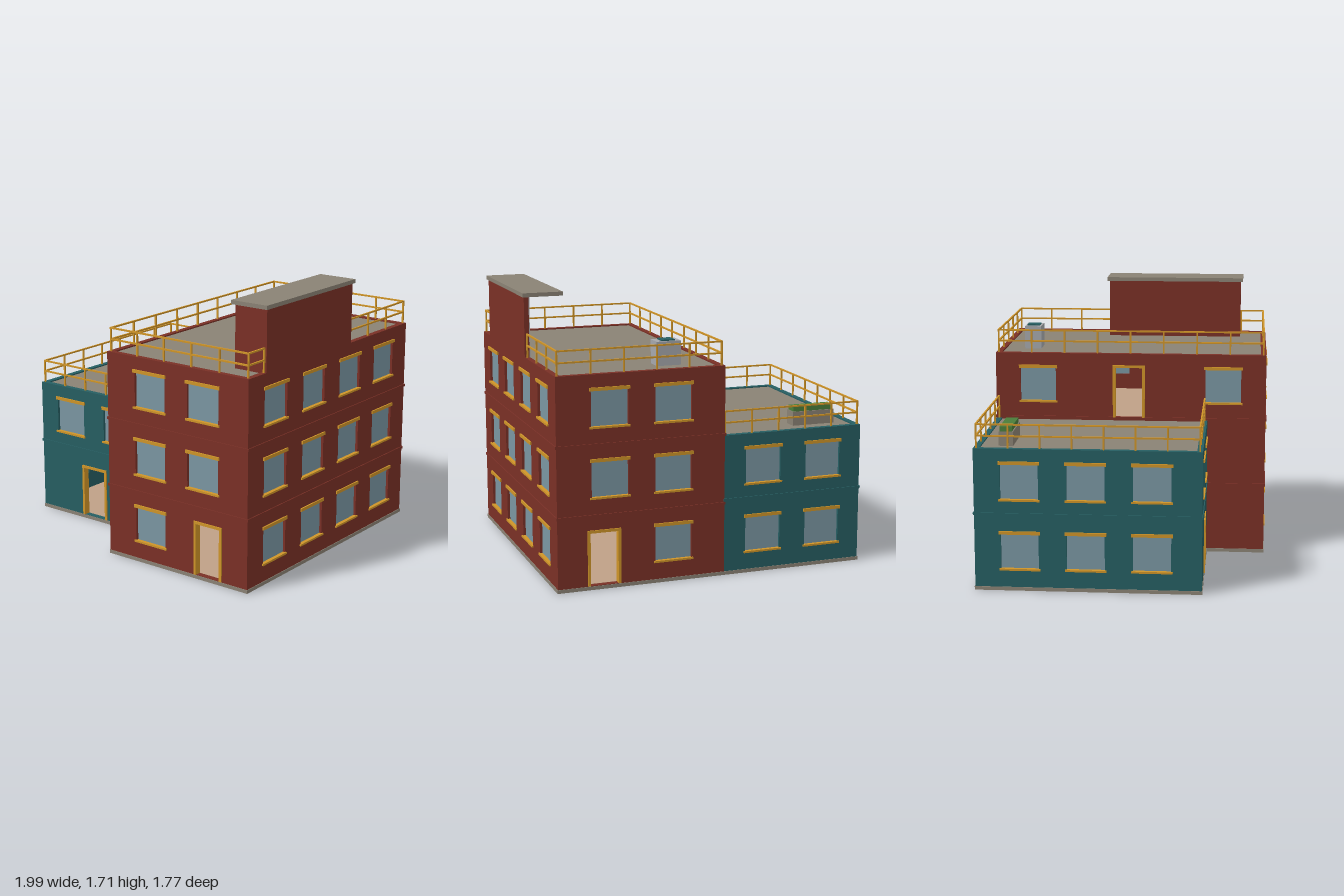
import * as THREE from 'three';

const paint = (name, color) => {
  const m = new THREE.MeshStandardMaterial({ color });
  m.name = name;
  return m;
};

export function createModel() {
  const red = paint('brick red', 0x7a3026);
  const teal = paint('teal', 0x265e62);
  const glass = paint('window glass', 0x7a96a2);
  const gold = paint('golden trim', 0xcf9428);
  const concrete = paint('concrete', 0x8a8274);
  const timber = paint('floor tan', 0xbfa086);
  const grey = paint('light grey', 0xa6a8ac);
  const green = paint('hedge green', 0x4a7d3a);

  const model = new THREE.Group();
  model.name = 'building';

  const T = 0.035; // wall thickness
  const WIN_W = 0.23, WIN_H = 0.22, DOOR_W = 0.18, DOOR_H = 0.33;

  // Box given by its limits on each axis
  function box(parent, name, mat, x0, x1, y0, y1, z0, z1) {
    const m = new THREE.Mesh(new THREE.BoxGeometry(x1 - x0, y1 - y0, z1 - z0), mat);
    m.position.set((x0 + x1) / 2, (y0 + y1) / 2, (z0 + z1) / 2);
    m.name = name;
    parent.add(m);
    return m;
  }

  // Wall seen from outside: u runs to the right, outer face at local z = 0
  function facade(name, mat, o) {
    const g = new THREE.Group();
    g.name = name;
    g.position.set(o.x || 0, 0, o.z || 0);
    g.rotation.y = o.turn;
    const rect = (S, u0, u1, v0, v1) => {
      const s = new S();
      s.moveTo(u0, v0);
      s.lineTo(u1, v0);
      s.lineTo(u1, v1);
      s.lineTo(u0, v1);
      s.closePath();
      return s;
    };
    const [a, b] = o.span;
    const e = o.trim || 0; // shorten side walls so that corners do not overlap
    const shape = rect(THREE.Shape, a + e, b - e, 0, o.height);

    for (const [u, v] of o.windows || []) {
      const l = u - WIN_W / 2, r = u + WIN_W / 2, t = v + WIN_H;
      shape.holes.push(rect(THREE.Path, l, r, v, t));
      box(g, 'windowPane', glass, l, r, v, t, -0.024, -0.016);
      box(g, 'windowLintel', gold, l - 0.01, r + 0.01, t - 0.003, t + 0.017, -0.015, 0.009);
      box(g, 'windowSill', gold, l - 0.01, r + 0.01, v - 0.009, v + 0.003, -0.015, 0.009);
    }
    for (const [u, v] of o.doors || []) {
      const l = u - DOOR_W / 2, r = u + DOOR_W / 2, t = v + DOOR_H;
      shape.holes.push(rect(THREE.Path, l, r, v, t));
      box(g, 'doorJamb', gold, l - 0.014, l + 0.003, v, t, -T, 0.008);
      box(g, 'doorJamb', gold, r - 0.003, r + 0.014, v, t, -T, 0.008);
      box(g, 'doorHeader', gold, l - 0.014, r + 0.014, t - 0.003, t + 0.014, -T, 0.008);
    }
    for (const v of o.bands) box(g, 'floorBand', mat, a - 0.006, b + 0.006, v - 0.008, v + 0.008, -0.01, 0.006);

    const wall = new THREE.Mesh(new THREE.ExtrudeGeometry(shape, { depth: T, bevelEnabled: false }), mat);
    wall.position.z = -T;
    wall.name = 'wall';
    g.add(wall);
    model.add(g);
  }

  const grid = (us, vs) => us.flatMap(u => vs.map(v => [u, v]));
  const SILLS = [0.135, 0.567, 0.995];
  const X0 = -0.985, XM = -0.075, X1 = 0.985, ZB = -0.875, ZF = 0.875, ZT = 0.5;
  const RH = 1.31, TH = 0.88, GROUND = 0.025;
  const FRONT = 0, RIGHT = Math.PI / 2, BACK = Math.PI, LEFT = -Math.PI / 2;

  // Three-storey red block
  const R = { height: RH, bands: [0.457, 0.888] };
  const upper = SILLS.slice(1);
  facade('redFrontWall', red, { ...R, turn: FRONT, z: ZF, span: [XM, X1],
    windows: [...grid([0.255], SILLS), ...grid([0.655], upper)], doors: [[0.695, GROUND]] });
  facade('redBackWall', red, { ...R, turn: BACK, z: ZB, span: [-X1, -XM],
    windows: [...grid([-0.255], SILLS), ...grid([-0.655], upper)], doors: [[-0.695, GROUND]] });
  facade('redSideWall', red, { ...R, turn: RIGHT, x: X1, span: [ZB, ZF], trim: T,
    windows: grid([-0.6, -0.2, 0.2, 0.6], SILLS) });
  facade('redInnerWall', red, { ...R, turn: LEFT, x: XM, span: [ZB, ZF], trim: T,
    windows: grid([-0.6, 0.6], [SILLS[2]]), doors: [[-0.01, 0.892]] });

  // Two-storey teal block
  const L = { height: TH, bands: [0.477] };
  const low = SILLS.slice(0, 2);
  facade('tealFrontWall', teal, { ...L, turn: FRONT, z: ZT, span: [X0, XM],
    windows: grid([-0.73, -0.33], upper.slice(0, 1)), doors: [[-0.53, GROUND]] });
  facade('tealBackWall', teal, { ...L, turn: BACK, z: ZB, span: [-XM, -X0],
    windows: grid([0.73, 0.33], low) });
  facade('tealSideWall', teal, { ...L, turn: LEFT, x: X0, span: [ZB, ZT], trim: T,
    windows: grid([-0.6, -0.2, 0.2], low) });

  // Plinth, floors and roofs
  box(model, 'redPlinth', concrete, XM - 0.004, X1 + 0.004, 0, 0.022, ZB - 0.004, ZF + 0.004);
  box(model, 'tealPlinth', concrete, X0 - 0.004, XM - 0.004, 0, 0.022, ZB - 0.004, ZT + 0.004);
  function level(x0, x1, z1, y, isRoof) {
    const lim = [x0 + T, x1 - T], zs = [ZB + T, z1 - T];
    box(model, isRoof ? 'roofSlab' : 'floorSlab', concrete, ...lim, y - 0.02, y, ...zs);
    if (!isRoof) box(model, 'floorCovering', timber, ...lim, y, y + 0.004, ...zs);
  }
  for (const y of [0.022, 0.455, 0.886]) level(XM, X1, ZF, y, false);
  for (const y of [0.022, 0.475]) level(X0, XM + T, ZT, y, false);
  level(XM, X1, ZF, RH - 0.008, true);
  level(X0, XM + T, ZT, TH - 0.008, true);

  // Railing between two roof points, with evenly spaced posts
  function railing(name, y, [xa, za], [xb, zb], segments) {
    const g = new THREE.Group();
    g.name = name;
    const r = 0.005;
    for (const h of [0.075, 0.145])
      box(g, 'rail', gold, Math.min(xa, xb) - r, Math.max(xa, xb) + r, y + h - r, y + h + r,
        Math.min(za, zb) - r, Math.max(za, zb) + r);
    for (let i = 0; i <= segments; i++) {
      const x = xa + (xb - xa) * i / segments, z = za + (zb - za) * i / segments;
      box(g, 'post', gold, x - r, x + r, y - 0.01, y + 0.145, z - r, z + r);
    }
    model.add(g);
  }
  const rl = XM + 0.018, rr = X1 - 0.015, rb = ZB + 0.018, rf = ZF - 0.018;
  railing('redFrontRailing', RH, [rl, rf], [rr, rf], 5);
  railing('redBackRailing', RH, [rl, rb], [rr, rb], 5);
  railing('redInnerRailing', RH, [rl, rb], [rl, rf], 8);
  railing('redSideRailing', RH, [rr, rb], [rr, -0.21], 3);
  railing('redSideRailing', RH, [rr, 0.705], [rr, rf], 1);
  const tl = X0 + 0.015, tf = ZT - 0.018;
  railing('tealFrontRailing', TH, [tl, tf], [XM - 0.006, tf], 5);
  railing('tealBackRailing', TH, [tl, rb], [XM - 0.006, rb], 5);
  railing('tealSideRailing', TH, [tl, rb], [tl, tf], 7);

  // Stair housing, open at its back end
  const stair = new THREE.Group();
  stair.name = 'stairHousing';
  const sx = 0.76, sb = -0.205, sf = 0.7, sTop = 1.685, sMid = (RH + sTop) / 2, sH = sTop - RH;
  box(stair, 'outerWall', red, X1 - 0.03, X1, RH - 0.01, sTop, sb, sf);
  box(stair, 'plasterLining', grey, X1 - 0.036, X1 - 0.03, RH - 0.01, sTop, sb + 0.002, sf - 0.01);
  const inner = new THREE.Mesh(new THREE.PlaneGeometry(sf - sb, sH + 0.016), red);
  inner.name = 'innerWall';
  inner.rotation.y = LEFT;
  inner.position.set(sx, sMid - 0.008, (sb + sf) / 2);
  const end = new THREE.Mesh(new THREE.PlaneGeometry(X1 - sx, sH + 0.016), red);
  end.name = 'endWall';
  end.position.set((sx + X1) / 2, sMid - 0.008, sf);
  stair.add(inner, end);
  box(stair, 'stairRoof', concrete, 0.74, 0.995, sTop, 1.71, sb - 0.015, sf + 0.015);
  model.add(stair);

  // Ventilation unit
  box(model, 'ventUnit', grey, 0.15, 0.305, RH - 0.01, 1.45, -0.715, -0.607);
  box(model, 'ventCover', teal, 0.185, 0.27, 1.45, 1.458, -0.702, -0.62);

  // Planter with hedge
  box(model, 'planter', concrete, -0.868, -0.588, TH - 0.01, 0.96, -0.737, -0.648);
  box(model, 'hedge', green, -0.862, -0.595, 0.96, 0.99, -0.73, -0.655);

  return model;
}
